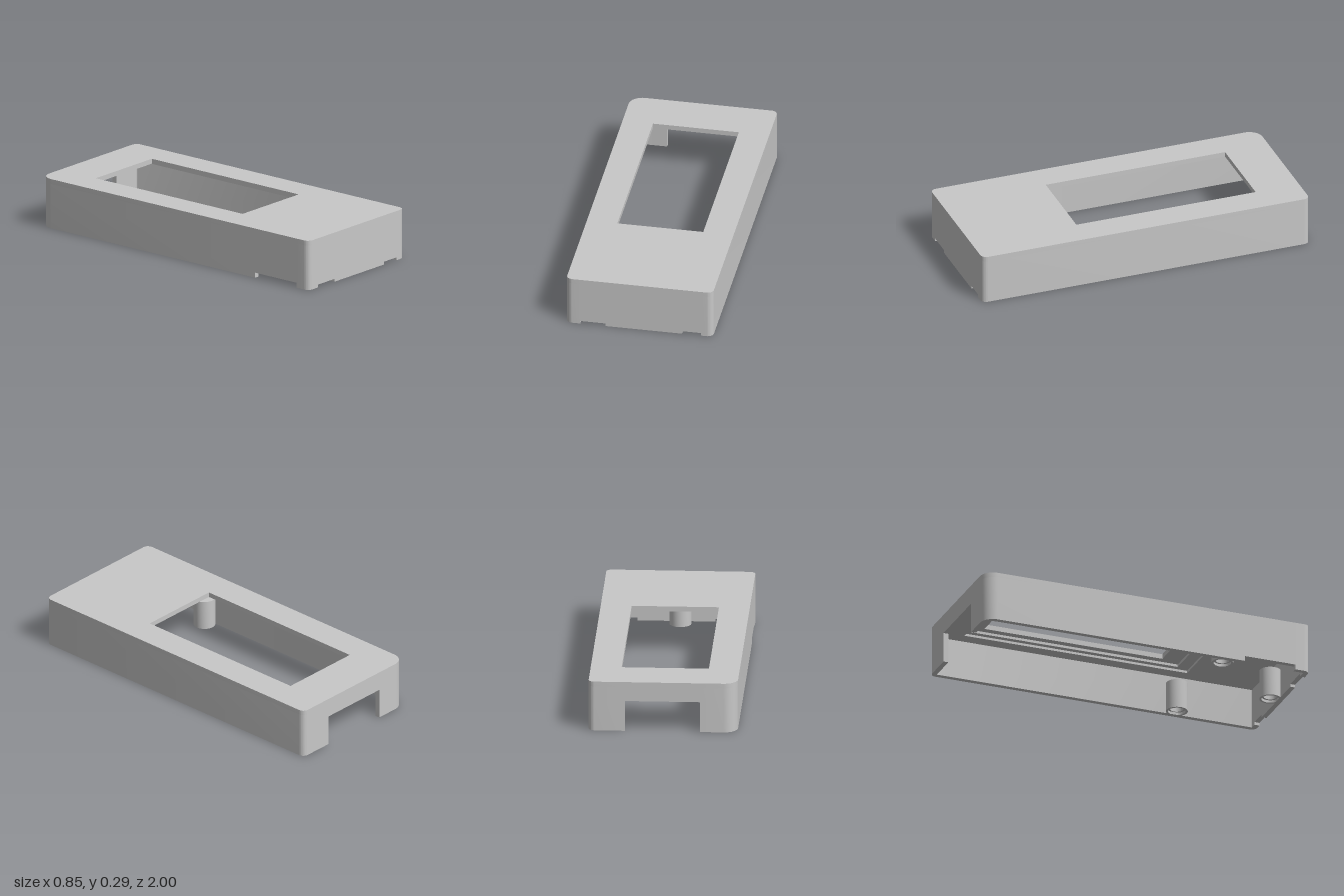
import * as THREE from 'three';
import { toCreasedNormals } from 'three/addons/utils/BufferGeometryUtils.js';

const HX = 0.427, HZ = 1, WALL = 0.03;
const PLATE_BOTTOM = 0.265, TOP = 0.294;

// Corners in order of travel around the plan; each is followed by the
// breakpoints [x, z, lower edge of the wall from here on] of its next side.
const CORNERS = [
  { sx: 1, sz: 1, r: 0.035, cuts: [[0.357, HZ, 0.017], [0.247, HZ, 0], [-0.197, HZ, 0.017], [-0.345, HZ, 0]] },
  { sx: -1, sz: 1, r: 0.035, cuts: [[-HX, 0.91, 0.03], [-HX, 0.6, 0]] },
  { sx: -1, sz: -1, r: 0.08, cuts: [[-0.212, -HZ, 0.18], [0.218, -HZ, 0]] },
  { sx: 1, sz: -1, r: 0.035, cuts: [] },
];

// Outer and inner wall points, with the lower edge height of the next segment
function perimeter() {
  const pts = [];
  CORNERS.forEach(({ sx, sz, r, cuts }, k) => {
    const cx = sx * (HX - r), cz = sz * (HZ - r), steps = 10;
    for (let i = 0; i <= steps; i++) {
      const a = (k + i / steps) * Math.PI / 2;
      const at = (d) => [cx + d * Math.cos(a), cz + d * Math.sin(a)];
      pts.push({ o: at(r), i: at(r - WALL), h: 0 });
    }
    for (const [x, z, h] of cuts) {
      const onSide = Math.abs(x) === HX;
      const inner = onSide ? [x - Math.sign(x) * WALL, z] : [x, z - Math.sign(z) * WALL];
      pts.push({ o: [x, z], i: inner, h });
    }
  });
  return pts;
}

// Wall ring with notches cut into its lower edge
function wallGeometry(pts) {
  const pos = [];
  const v = ([x, z], y) => [x, y, z];
  const quad = (a, b, c, d) => pos.push(...a, ...b, ...c, ...a, ...c, ...d);
  pts.forEach((a, n) => {
    const b = pts[(n + 1) % pts.length];
    const prev = pts[(n + pts.length - 1) % pts.length].h;
    const h = a.h, t = PLATE_BOTTOM;
    quad(v(a.o, h), v(a.o, t), v(b.o, t), v(b.o, h));
    quad(v(a.i, h), v(b.i, h), v(b.i, t), v(a.i, t));
    quad(v(a.o, h), v(b.o, h), v(b.i, h), v(a.i, h));
    if (prev !== h) quad(v(a.o, prev), v(a.o, h), v(a.i, h), v(a.i, prev));
  });
  const geo = new THREE.BufferGeometry();
  geo.setAttribute('position', new THREE.Float32BufferAttribute(pos, 3));
  return toCreasedNormals(geo, 0.5);
}

// Horizontal plate with a rectangular hole (hole wound against the outline)
function plateGeometry(outline, [x0, x1, z0, z1], y0, y1) {
  const shape = new THREE.Shape(outline.map(([x, z]) => new THREE.Vector2(x, -z)));
  shape.holes.push(new THREE.Path([[x0, z0], [x0, z1], [x1, z1], [x1, z0]]
    .map(([x, z]) => new THREE.Vector2(x, -z))));
  const geo = new THREE.ExtrudeGeometry(shape, { depth: y1 - y0, bevelEnabled: false });
  geo.rotateX(-Math.PI / 2).translate(0, y0, 0);
  return toCreasedNormals(geo, 0.5);
}

export function createModel() {
  const group = new THREE.Group();
  const grey = new THREE.MeshStandardMaterial({ color: 0xc8c8c8 });
  grey.name = 'light grey plastic';
  const add = (name, geo) => {
    const mesh = new THREE.Mesh(geo, grey);
    mesh.name = name;
    group.add(mesh);
    return mesh;
  };

  const pts = perimeter();
  const outer = pts.map((p) => p.o), inner = pts.map((p) => p.i);

  // Shell: walls, top with window, and stepped pocket below the window
  add('walls', wallGeometry(pts));
  add('topPlate', plateGeometry(outer, [-0.25, 0.25, -0.735, 0.36], PLATE_BOTTOM, TOP));
  add('innerPocketStep', plateGeometry(inner, [-0.29, 0.29, -0.8, 0.47], 0.25, PLATE_BOTTOM));
  add('outerPocketStep', plateGeometry(inner, [-0.32, 0.32, -0.83, 0.54], 0.236, 0.25));

  // Short screw posts joined to the walls, with a stepped screw hole
  const profile = [[0, 0.1], [0.038, 0.1], [0.038, 0.015], [0.05, 0.015], [0.05, 0],
    [0.063, 0], [0.063, 0.175], [0, 0.175]]
    .map(([r, y]) => new THREE.Vector2(r, y));
  const post = toCreasedNormals(new THREE.LatheGeometry(profile, 32), 0.5);
  [['leftPost', 0.353, 0.49], ['rightPost', -0.353, 0.49], ['frontPost', 0, 0.925]]
    .forEach(([name, x, z]) => add(name, post).position.set(x, 0, z));

  return group;
}
